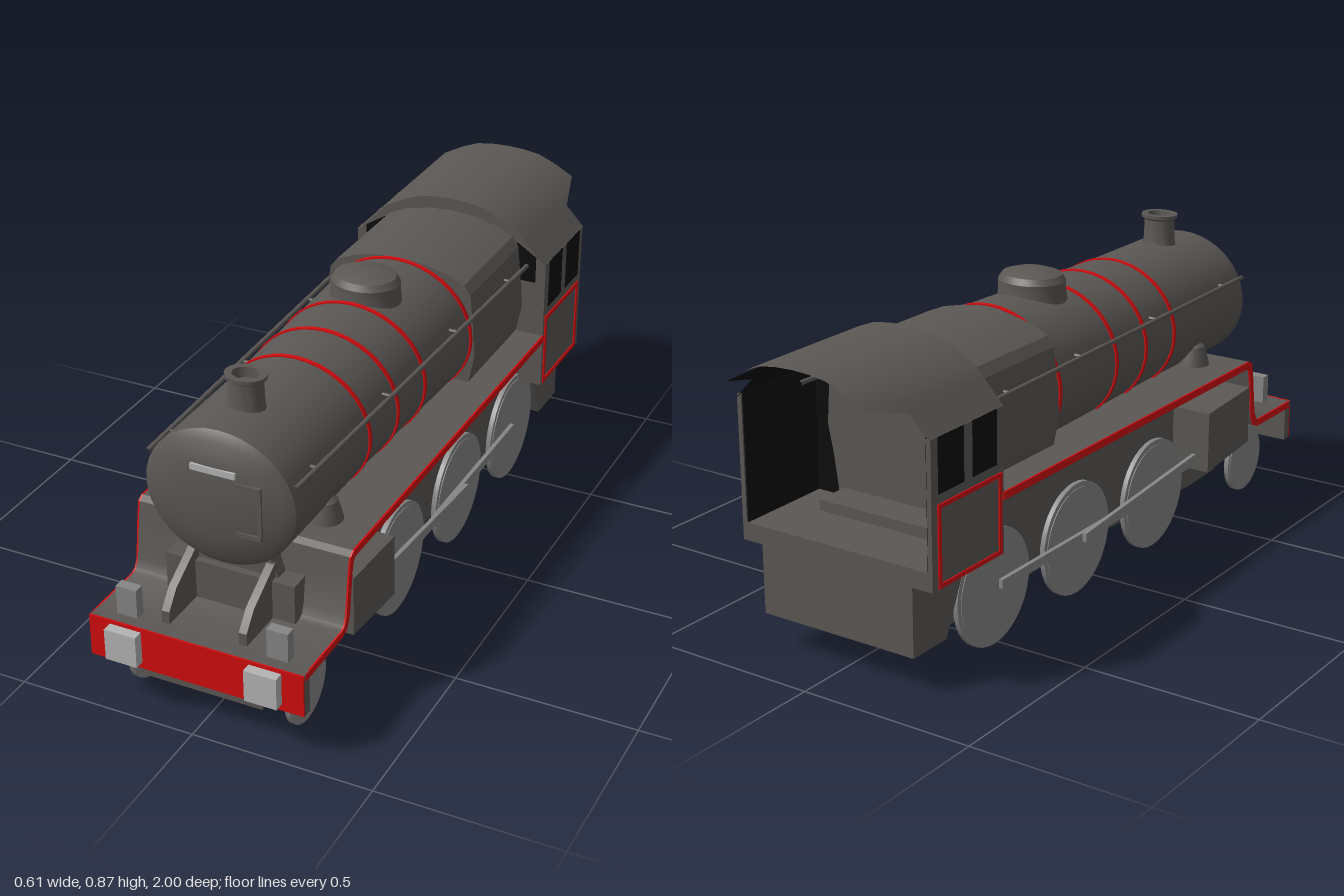
import * as THREE from 'three';
import { toCreasedNormals } from 'three/addons/utils/BufferGeometryUtils.js';

function paint(name, color) {
  const m = new THREE.MeshStandardMaterial({ color });
  m.name = name;
  return m;
}

export function createModel() {
  const body = paint('dark grey', 0x5a5754);
  const red = paint('lining red', 0xd20c0e);
  const steel = paint('wheel steel', 0x858585);
  const silver = paint('pale silver', 0xb4b4b4);
  const black = paint('interior black', 0x0c0c0c);
  const root = new THREE.Group();
  root.name = 'steamLocomotive';

  const add = (name, geo, mat, parent = root) => {
    const m = new THREE.Mesh(toCreasedNormals(geo, 0.5), mat);
    m.name = name;
    parent.add(m);
  };
  // Box given by its limits on each axis
  const box = (name, mat, [x0, x1], [y0, y1], [z0, z1]) =>
    add(name, new THREE.BoxGeometry(x1 - x0, y1 - y0, z1 - z0)
      .translate((x0 + x1) / 2, (y0 + y1) / 2, (z0 + z1) / 2), mat);
  const pair = (name, mat, [x0, x1], y, z) => {
    box(name + 'Left', mat, [x0, x1], y, z);
    box(name + 'Right', mat, [-x1, -x0], y, z);
  };
  const outline = (pts) => new THREE.Shape(pts.map(([a, b]) => new THREE.Vector2(a, b)));
  // Side outline of [z, y] points, extruded from x0 to x1
  const slab = (name, mat, pts, x0, x1) =>
    add(name, new THREE.ExtrudeGeometry(outline(pts), { depth: x1 - x0, bevelEnabled: false })
      .translate(0, 0, -x1).rotateY(-Math.PI / 2), mat);
  const slabPair = (name, mat, pts, x0, x1) => {
    slab(name + 'Left', mat, pts, x0, x1);
    slab(name + 'Right', mat, pts, -x1, -x0);
  };
  // Front outline of [x, y] points, extruded from z0 to z1
  const section = (name, mat, pts, z0, z1) =>
    add(name, new THREE.ExtrudeGeometry(outline(pts), { depth: z1 - z0, bevelEnabled: false })
      .translate(0, 0, z0), mat);
  const mirrored = (half) => [...half, ...half.filter(([x]) => x > 0).reverse().map(([x, y]) => [-x, y])];
  const lathe = (pts, n = 40) => new THREE.LatheGeometry(pts.map(([r, h]) => new THREE.Vector2(r, h)), n);

  // Boiler barrel and domed smokebox door, slightly wider than tall
  const axisY = 0.595, wide = 1.11;
  const radius = (z) => 0.188 + (0.41 - z) * 0.023;
  const alongZ = (geo) => geo.rotateX(Math.PI / 2).scale(wide, 1, 1).translate(0, axisY, 0);
  add('boiler', alongZ(lathe([[0, -0.25], [0.202, -0.25], [0.202, -0.2], [0.188, 0.41], [0.188, 0.815],
    [0.165, 0.832], [0.1, 0.846], [0, 0.851]])), body);
  for (const z of [0.41, 0.25, 0.09, -0.2])
    add('boilerBand', alongZ(new THREE.CylinderGeometry(radius(z) + 0.004, radius(z) + 0.004, 0.012, 40)
      .translate(0, z, 0)), red);

  // Door plate and hinge straps
  box('doorPlate', silver, [-0.062, 0.062], [0.678, 0.695], [0.836, 0.851]);
  for (const y of [0.525, 0.662]) box('doorHinge', body, [0.06, 0.128], [y - 0.006, y + 0.006], [0.825, 0.85]);
  box('hingePost', body, [0.118, 0.13], [0.525, 0.662], [0.825, 0.848]);

  // Firebox with rounded shoulders, and its rear face inside the cab
  const firebox = mirrored([[0.2, 0.35], [0.215, 0.455], [0.232, 0.54], [0.226, 0.62], [0.215, 0.725],
    [0.195, 0.752], [0.14, 0.776], [0.07, 0.792], [0, 0.797]]);
  section('firebox', body, firebox, -0.6, -0.215);

  // Chimney and steam dome
  add('chimney', lathe([[0.045, 0.76], [0.04, 0.79], [0.038, 0.852], [0.046, 0.858], [0.046, 0.868], [0.03, 0.868],
    [0.028, 0.84], [0, 0.84]], 28).scale(1.2, 1, 1).translate(0, 0, 0.67), body);
  add('steamDome', lathe([[0.088, 0.76], [0.083, 0.8], [0.083, 0.825], [0.073, 0.842], [0.045, 0.852], [0, 0.855]], 32)
    .scale(1.16, 1, 1), body);

  // Handrails and small domes beside the smokebox
  for (const s of [1, -1]) {
    const rail = new THREE.LineCurve3(new THREE.Vector3(s * 0.205, 0.67, 0.81), new THREE.Vector3(s * 0.246, 0.67, -0.69));
    add('handrail', new THREE.TubeGeometry(rail, 1, 0.007, 8), body);
    for (const z of [0.7, 0.3, -0.1, -0.45])
      add('railBracket', new THREE.CylinderGeometry(0.005, 0.005, 0.05, 6).rotateZ(Math.PI / 2)
        .translate(s * (0.185 + (0.81 - z) * 0.026), 0.67, z), body);
    add('sideDome', lathe([[0.05, 0.44], [0.046, 0.46], [0.038, 0.49], [0.032, 0.51], [0.018, 0.522], [0, 0.525]], 20)
      .translate(s * 0.172, 0, 0.59), body);
  }

  // Running board with its drop to the front platform, edged in red
  const board = [[-0.57, 0.455], [0.695, 0.455], [0.713, 0.445], [0.722, 0.4], [0.738, 0.285], [0.75, 0.262],
    [0.765, 0.255], [0.96, 0.255], [0.96, 0.235], [0.76, 0.235], [0.735, 0.245], [0.72, 0.275], [0.703, 0.4],
    [0.695, 0.428], [0.685, 0.434], [-0.57, 0.434]];
  slab('runningBoard', body, board, -0.298, 0.298);
  slabPair('boardEdge', red, board, 0.298, 0.303);

  // Frames, saddle and front platform details
  slab('mainFrame', body, [[-0.7, 0.09], [-0.1, 0.105], [0.56, 0.08], [0.71, 0.085], [0.71, 0.37], [-0.7, 0.37]], -0.185, 0.185);
  box('frontFrame', body, [-0.175, 0.175], [0.1, 0.24], [0.7, 0.95]);
  section('smokeboxSaddle', body, [[-0.13, 0.36], [0.13, 0.36], [0.09, 0.46], [-0.09, 0.46]], 0.48, 0.765);
  box('frontStep', body, [-0.183, 0.183], [0.25, 0.365], [0.7, 0.785]);
  slabPair('frontBracket', body, [[0.76, 0.25], [0.92, 0.25], [0.92, 0.29], [0.88, 0.34], [0.77, 0.405], [0.76, 0.405]], 0.098, 0.12);
  pair('frontLampBox', steel, [0.183, 0.242], [0.25, 0.337], [0.905, 0.935]);

  // Front beam with its two square bumpers
  box('frontBeam', body, [-0.302, 0.302], [0.136, 0.255], [0.94, 0.967]);
  box('frontBeamFace', red, [-0.302, 0.302], [0.136, 0.256], [0.967, 0.972]);
  pair('bumper', silver, [0.152, 0.242], [0.156, 0.246], [0.972, 1]);

  // Cylinders
  slabPair('cylinder', body, [[0.46, 0.18], [0.7, 0.205], [0.7, 0.375], [0.46, 0.36]], 0.18, 0.304);

  // Wheels, axles and rods
  for (const [z, r] of [[0.275, 0.16], [-0.125, 0.16], [-0.515, 0.16], [0.815, 0.1]]) {
    const wheelset = new THREE.Group();
    wheelset.name = r > 0.12 ? 'drivingWheels' : 'leadingWheels';
    wheelset.position.set(0, r, z);
    root.add(wheelset);
    const disc = (rad, len, x) => new THREE.CylinderGeometry(rad, rad, len, 36).rotateZ(Math.PI / 2).translate(x, 0, 0);
    for (const s of [1, -1]) {
      add('wheel', disc(r, 0.014, s * 0.225), steel, wheelset);
      add('wheelFace', disc(r * 0.91, 0.004, s * 0.232), steel, wheelset);
    }
    add('axle', disc(0.02, 0.44, 0), body, wheelset);
  }
  pair('couplingRod', steel, [0.236, 0.248], [0.153, 0.178], [-0.5, 0.35]);
  slabPair('connectingRod', steel, [[-0.125, 0.155], [0.46, 0.2], [0.46, 0.228], [-0.125, 0.18]], 0.25, 0.262);

  // Cab roof profile; the middle overhangs to the rear
  const roof = [[0.3, 0.68], [0.245, 0.738], [0.21, 0.775], [0.15, 0.807], [0.1, 0.827], [0.05, 0.834], [0, 0.836]];
  const rear = (x) => (Math.abs(x) > 0.22 ? -0.87 : -1);
  const roofSheet = (name, mat, drop, inside) => {
    const pos = [], idx = [];
    const line = mirrored(roof);
    line.forEach(([x, y], i) => {
      pos.push(x * (1 - drop), y - drop, -0.565, x * (1 - drop), y - drop, rear(x));
      if (i === line.length - 1) return;
      const a = i * 2;
      const quad = [a, a + 1, a + 2, a + 2, a + 1, a + 3];
      idx.push(...(inside ? quad.reverse() : quad));
    });
    const g = new THREE.BufferGeometry();
    g.setAttribute('position', new THREE.Float32BufferAttribute(pos, 3));
    g.setIndex(idx);
    g.computeVertexNormals();
    add(name, g, mat);
  };
  roofSheet('cabRoof', body, 0, false);
  roofSheet('cabCeiling', black, 0.006, true);

  // Cab walls, floor and black lining
  const front = mirrored([[0.298, 0.3], ...roof.map(([x, y]) => [x * 0.993, y - 0.003])]);
  section('cabFront', body, front, -0.58, -0.567);
  section('cabFrontLining', black, front.map(([x, y]) => [x * 0.98, y - 0.004]), -0.584, -0.58);
  pair('cabSide', body, [0.287, 0.3], [0.29, 0.682], [-0.866, -0.567]);
  pair('cabSideLining', black, [0.283, 0.287], [0.34, 0.684], [-0.862, -0.58]);
  box('cabFloor', body, [-0.288, 0.288], [0.29, 0.34], [-0.866, -0.567]);
  slab('rearTank', body, [[-0.866, 0.1], [-0.73, 0.1], [-0.64, 0.295], [-0.866, 0.295]], -0.238, 0.238);

  // Cab windows and red panel outlines
  for (const z of [[-0.698, -0.598], [-0.838, -0.735]]) pair('sideWindow', black, [0.299, 0.302], [0.537, 0.682], z);
  for (const s of [1, -1]) {
    const pane = [[0.21, 0.622], [0.27, 0.622], [0.27, 0.7], [0.21, 0.738]];
    section('frontWindow', black, pane.map(([x, y]) => [s * x, y]), -0.568, -0.564);
  }
  for (const y of [0.293, 0.5]) pair('panelLine', red, [0.299, 0.304], [y, y + 0.012], [-0.843, -0.578]);
  for (const z of [-0.843, -0.59]) pair('panelLine', red, [0.299, 0.304], [0.293, 0.512], [z, z + 0.012]);

  return root;
}
